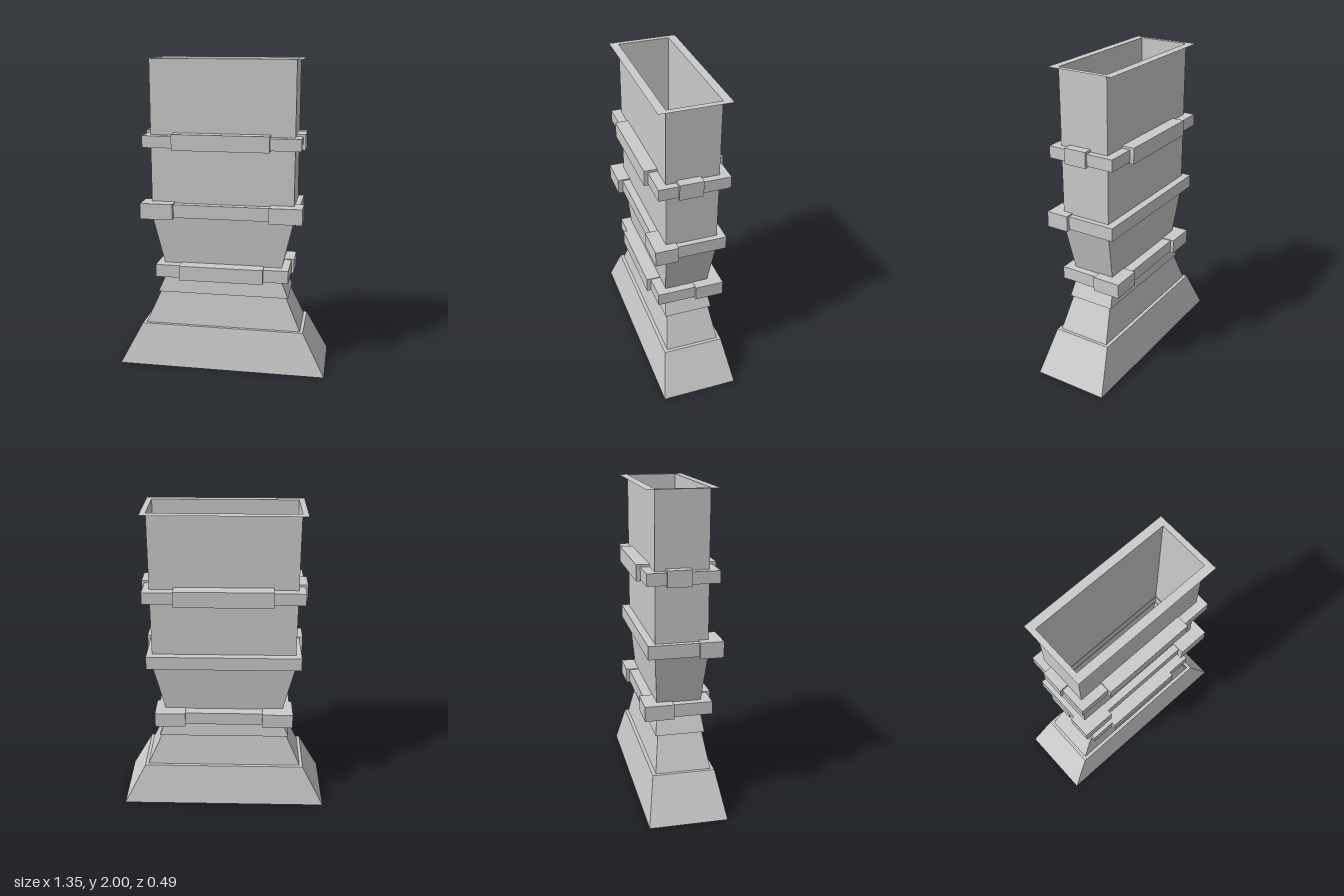
import * as THREE from 'three';

const material = new THREE.MeshStandardMaterial({ color: 0xcccccc, flatShading: true, side: THREE.DoubleSide });

export function createModel() {
  const model = new THREE.Group();

  const add = (parent, name, geometry) => {
    const mesh = new THREE.Mesh(geometry, material);
    mesh.name = name;
    parent.add(mesh);
    return mesh;
  };

  // Rectangular sleeve through cross-sections [half width, half depth, y], listed bottom to top
  const sleeve = (sections) => {
    const corners = [[-1, 1], [1, 1], [1, -1], [-1, -1]];
    const pos = [];
    for (let s = 0; s < sections.length - 1; s++) {
      for (let i = 0; i < 4; i++) {
        const at = ([hx, hz, y], [sx, sz]) => [sx * hx, y, sz * hz];
        const p = corners[i], q = corners[(i + 1) % 4];
        const a = at(sections[s], p), b = at(sections[s], q);
        const c = at(sections[s + 1], q), d = at(sections[s + 1], p);
        pos.push(...a, ...b, ...c, ...a, ...c, ...d);
      }
    }
    const g = new THREE.BufferGeometry();
    g.setAttribute('position', new THREE.Float32BufferAttribute(pos, 3));
    g.computeVertexNormals();
    return g;
  };

  // Box given by its limits on each axis
  const block = (parent, name, x0, x1, y0, y1, z0, z1) => {
    const g = new THREE.BoxGeometry(x1 - x0, y1 - y0, z1 - z0);
    g.translate((x0 + x1) / 2, (y0 + y1) / 2, (z0 + z1) / 2);
    return add(parent, name, g);
  };

  // Rectangular collar wrapped round the duct
  const collar = (name, hx, hz, ix, iz, y0, y1) => {
    const group = new THREE.Group();
    group.name = name;
    model.add(group);
    add(group, 'strap', sleeve([[ix, iz, y0], [hx, hz, y0], [hx, hz, y1], [ix, iz, y1]]));
    return group;
  };

  // Flared foot, closed below
  add(model, 'foot', sleeve([[0, 0, 0], [0.675, 0.245, 0], [0.53, 0.195, 0.275], [0.5, 0.165, 0.275]]));
  // Overlapping skirts
  add(model, 'lowerSkirt', sleeve([[0.51, 0.173, 0.275], [0.413, 0.14, 0.49]]));
  add(model, 'upperSkirt', sleeve([[0.41, 0.137, 0.49], [0.428, 0.155, 0.49], [0.38, 0.14, 0.6]]));
  // Neck and tapered throat
  add(model, 'throat', sleeve([[0.38, 0.14, 0.6], [0.383, 0.14, 0.69], [0.455, 0.163, 1.0]]));
  // Straight duct
  add(model, 'duct', sleeve([[0.455, 0.163, 1.0], [0.455, 0.163, 2]]));
  // Thin flat flange at the mouth
  add(model, 'flange', sleeve([[0.49, 0.216, 1.999], [0.455, 0.163, 2]]));

  // Top collar: raised clasps in the middle of each side
  const top = collar('topCollar', 0.497, 0.22, 0.455, 0.163, 1.455, 1.53);
  for (const s of [1, -1]) {
    const face = new THREE.Group();
    face.name = s > 0 ? 'frontAndLeftClasps' : 'backAndRightClasps';
    block(face, 'longClasp', -0.305, 0.305, 1.445, 1.545, 0.163, 0.245);
    block(face, 'shortClasp', 0.455, 0.513, 1.445, 1.545, -0.047, 0.1);
    face.rotation.y = s > 0 ? 0 : Math.PI;
    top.add(face);
  }

  // Middle collar: clasps wrapping the two front corners
  const middle = collar('middleCollar', 0.49, 0.212, 0.45, 0.16, 1.01, 1.095);
  // Bottom collar: clasps wrapping the two back corners and one across the front
  const bottom = collar('bottomCollar', 0.43, 0.203, 0.38, 0.138, 0.608, 0.69);
  block(bottom, 'frontClasp', -0.27, 0.27, 0.6, 0.695, 0.14, 0.23);

  for (const s of [1, -1]) {
    const span = (a, b) => (s > 0 ? [a, b] : [-b, -a]);
    block(middle, 'cornerClaspFront', ...span(0.305, 0.513), 1.002, 1.103, 0.163, 0.245);
    block(middle, 'cornerClaspSide', ...span(0.45, 0.513), 1.002, 1.103, 0.1, 0.163);
    block(bottom, 'cornerClaspBack', ...span(0.25, 0.447), 0.6, 0.695, -0.225, -0.14);
    block(bottom, 'cornerClaspSide', ...span(0.38, 0.447), 0.6, 0.695, -0.14, -0.042);
  }

  return model;
}
